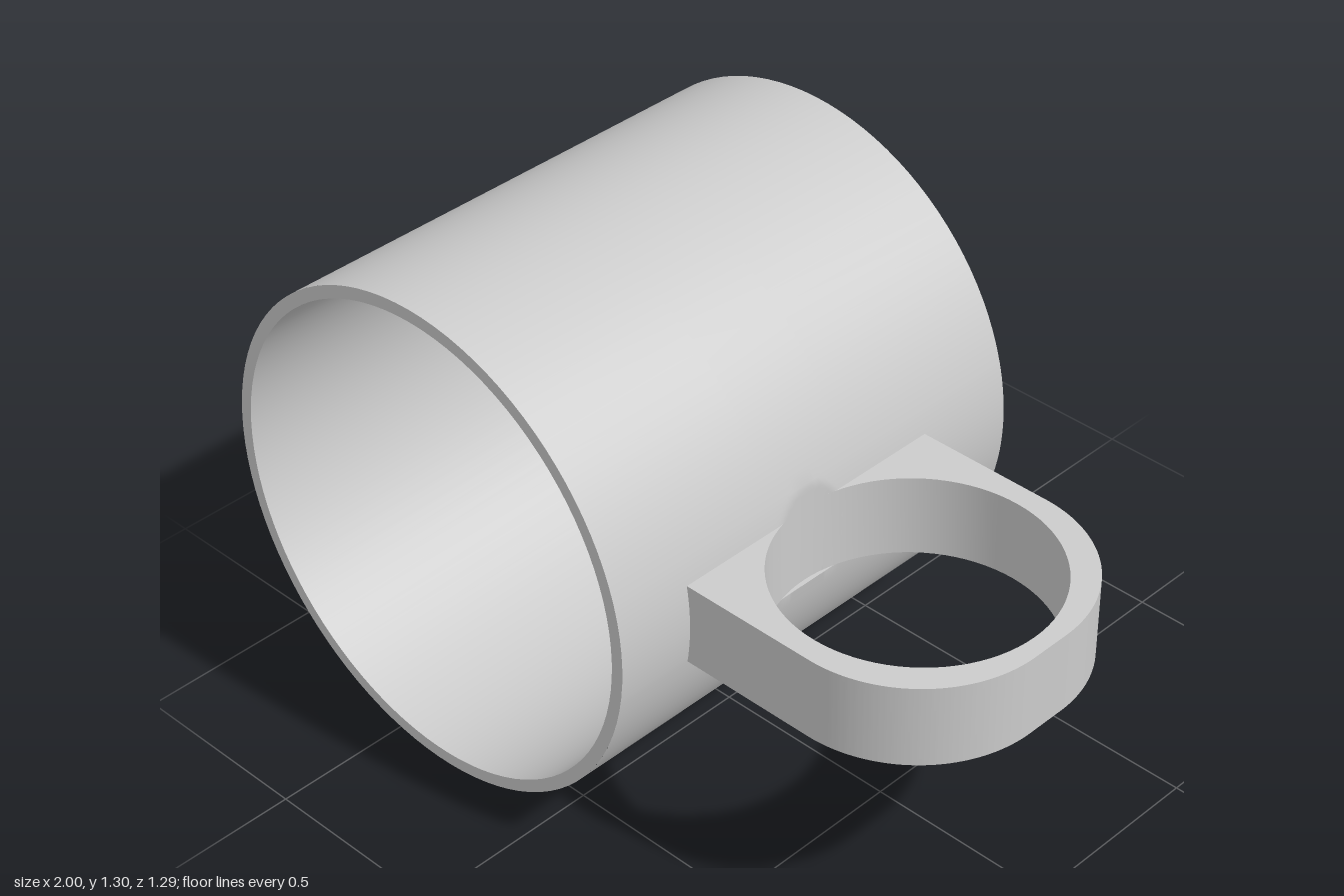
import * as THREE from 'three';
import { toCreasedNormals } from 'three/addons/utils/BufferGeometryUtils.js';

const CX = -0.352, CY = 0.648, R = 0.648, INNER = 0.615, HALF = 0.645; // body, lying along z
const HX = 0.615, HZ = 0.035, HOLE = 0.34;                            // finger hole of the handle
const Y0 = 0.54, Y1 = 0.756;                                          // handle bottom and top
const SEGMENTS = 96;

const range = (a, b, n) => Array.from({ length: n + 1 }, (_, i) => a + (b - a) * i / n);

// Outer wall, hollowed slightly where the finger hole runs up into it
function wallGeometry() {
  const start = Math.asin((Y0 - CY) / R), end = 0.262;
  const rows = [
    { a: start, cut: false },
    ...range(start, end, 20).map(a => ({ a, cut: true })),
    ...range(end, start + Math.PI * 2, SEGMENTS).slice(1).map(a => ({ a, cut: false })),
  ];
  const zs = [-HALF, ...range(HZ - 0.125, HZ + 0.125, 24), HALF];
  const positions = [], index = [];
  rows.forEach(({ a, cut }, i) => zs.forEach((z, j) => {
    let x = CX + R * Math.cos(a);
    const dz = z - HZ;
    if (cut && Math.abs(dz) < HOLE) x = Math.min(x, HX - Math.sqrt(HOLE * HOLE - dz * dz));
    positions.push(x, CY + R * Math.sin(a), z);
    if (i && j) {
      const n = zs.length, d = i * n + j, c = d - 1, b = d - n, e = b - 1;
      index.push(e, c, d, e, d, b);
    }
  }));
  const g = new THREE.BufferGeometry();
  g.setAttribute('position', new THREE.Float32BufferAttribute(positions, 3));
  g.setIndex(index);
  return g;
}

// Revolved profile of [radius, z] points around the body axis
function turned(points) {
  return new THREE.LatheGeometry(points.map(p => new THREE.Vector2(...p)), SEGMENTS)
    .rotateX(Math.PI / 2).translate(CX, CY, 0);
}

// Handle: rounded block with a round hole that opens into the body
function handleGeometry() {
  const root = 0.28, half = 0.398, corner = 0.345, end = 1;
  const open = Math.acos((root - HX) / HOLE); // hole angle where it meets the root
  const s = new THREE.Shape();
  s.moveTo(root, HZ - half);
  s.lineTo(end - corner, HZ - half);
  s.absarc(end - corner, HZ - half + corner, corner, -Math.PI / 2, 0, false);
  s.absarc(end - corner, HZ + half - corner, corner, 0, Math.PI / 2, false);
  s.lineTo(root, HZ + half);
  s.lineTo(root, HZ + HOLE * Math.sin(open));
  s.absarc(HX, HZ, HOLE, open, -open, true);
  s.closePath();
  return new THREE.ExtrudeGeometry(s, { depth: Y1 - Y0, bevelEnabled: false, curveSegments: 40 })
    .rotateX(Math.PI / 2).translate(0, Y1, 0);
}

export function createModel() {
  const group = new THREE.Group();
  group.name = 'mug';
  const material = new THREE.MeshStandardMaterial({ color: 0xcccccc });
  const add = (name, geometry) => {
    const mesh = new THREE.Mesh(toCreasedNormals(geometry, 0.4), material);
    mesh.name = name;
    group.add(mesh);
  };
  const floor = -HALF + 0.035;
  add('outerWall', wallGeometry());
  add('rimAndInside', turned([[R, HALF], [INNER, HALF], [INNER, floor], [0, floor]]));
  add('base', turned([[0, -HALF], [R, -HALF]]));
  add('handle', handleGeometry());
  return group;
}
